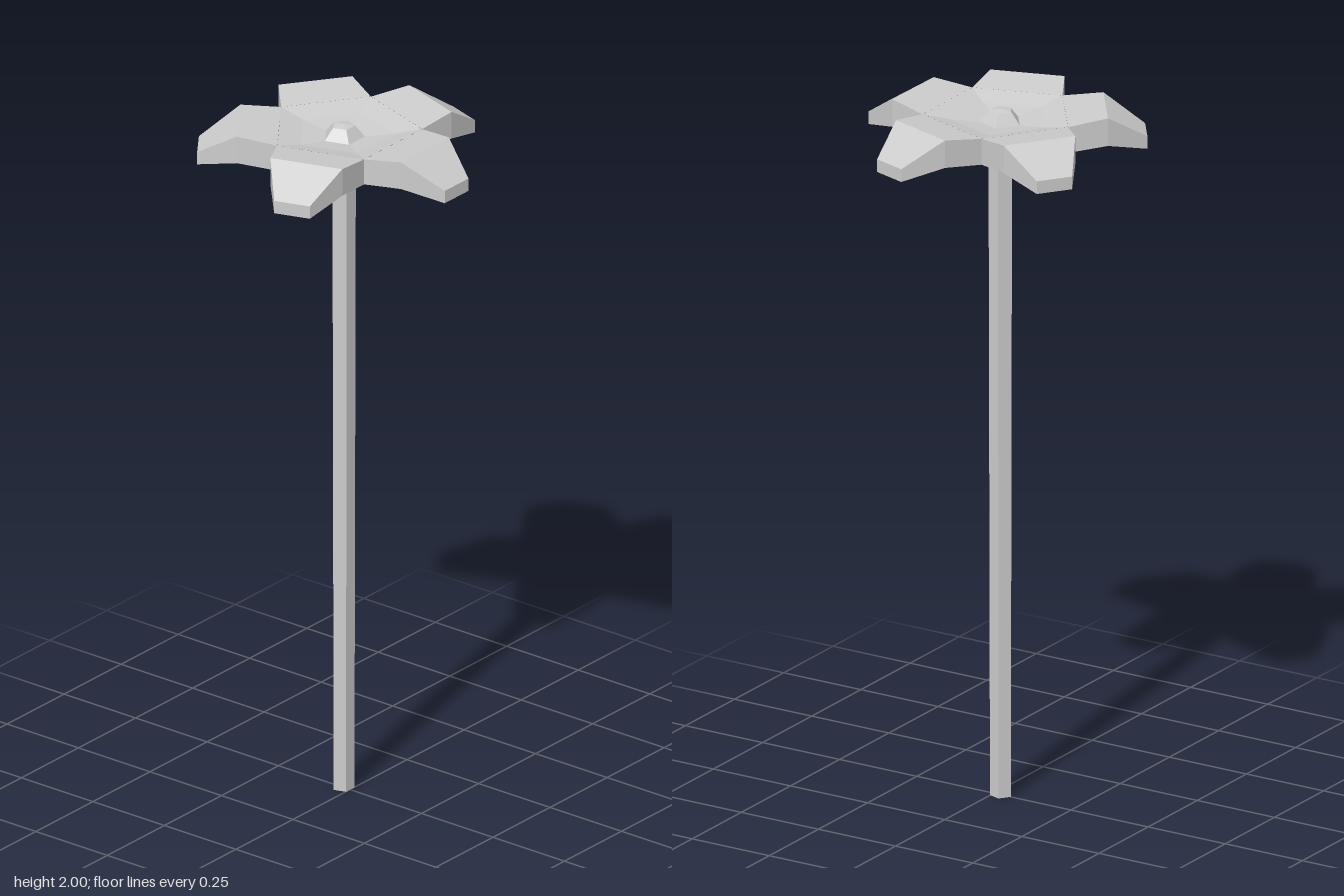
import * as THREE from 'three';

const SIDES = 5;
const CENTRE_Z = -0.024;

export function createModel() {
  const material = new THREE.MeshStandardMaterial({ color: 0xcccccc, flatShading: true });
  const group = new THREE.Group();
  group.name = 'flower';

  const add = (geometry, name) => {
    const flat = geometry.index ? geometry.toNonIndexed() : geometry;
    flat.computeVertexNormals();
    const mesh = new THREE.Mesh(flat, material);
    mesh.name = name;
    mesh.position.z = CENTRE_Z;
    group.add(mesh);
    return mesh;
  };

  // Five-sided turned part with one corner at the back; profile is [radius, height]
  const turned = (profile, name) => add(new THREE.LatheGeometry(
    profile.map(([r, y]) => new THREE.Vector2(r, y)), SIDES, Math.PI), name);

  // Stem, slightly thicker at the top, closed underneath
  turned([[0, 0], [0.031, 0], [0.035, 1.92]], 'stem');

  // Shallow bowl at the heart of the flower: upper and lower skins
  turned([[0.216, 1.985], [0.14, 1.969], [0, 1.953]], 'bowlTop');
  turned([[0, 1.905], [0.216, 1.91]], 'bowlUnderside');

  // Bud in the middle of the bowl
  turned([[0.064, 1.955], [0.033, 1.992], [0, 1.997]], 'bud');

  // Petal sections running outward: half width, distance, top and bottom height
  const sections = [
    [0.127, 0.175, 1.985, 1.91],
    [0.105, 0.286, 2.0, 1.92],
    [0.052, 0.397, 1.927, 1.89],
  ].map(([w, d, top, bottom]) => [[-w, top, d], [w, top, d], [w, bottom, d], [-w, bottom, d]]);

  const positions = [];
  const quad = (a, b, c, d) => positions.push(...a, ...b, ...c, ...a, ...c, ...d);
  for (let s = 0; s < sections.length - 1; s++) {
    const inner = sections[s], outer = sections[s + 1];
    for (let k = 0; k < 4; k++) {
      const n = (k + 1) % 4;
      quad(inner[k], outer[k], outer[n], inner[n]);
    }
  }
  // Blunt petal tip
  const [a, b, c, d] = sections[sections.length - 1];
  quad(a, d, c, b);

  const petalGeometry = new THREE.BufferGeometry();
  petalGeometry.setAttribute('position', new THREE.Float32BufferAttribute(positions, 3));
  for (let i = 0; i < SIDES; i++) {
    add(petalGeometry, `petal${i + 1}`).rotation.y = (i * 2 * Math.PI) / SIDES;
  }

  return group;
}
